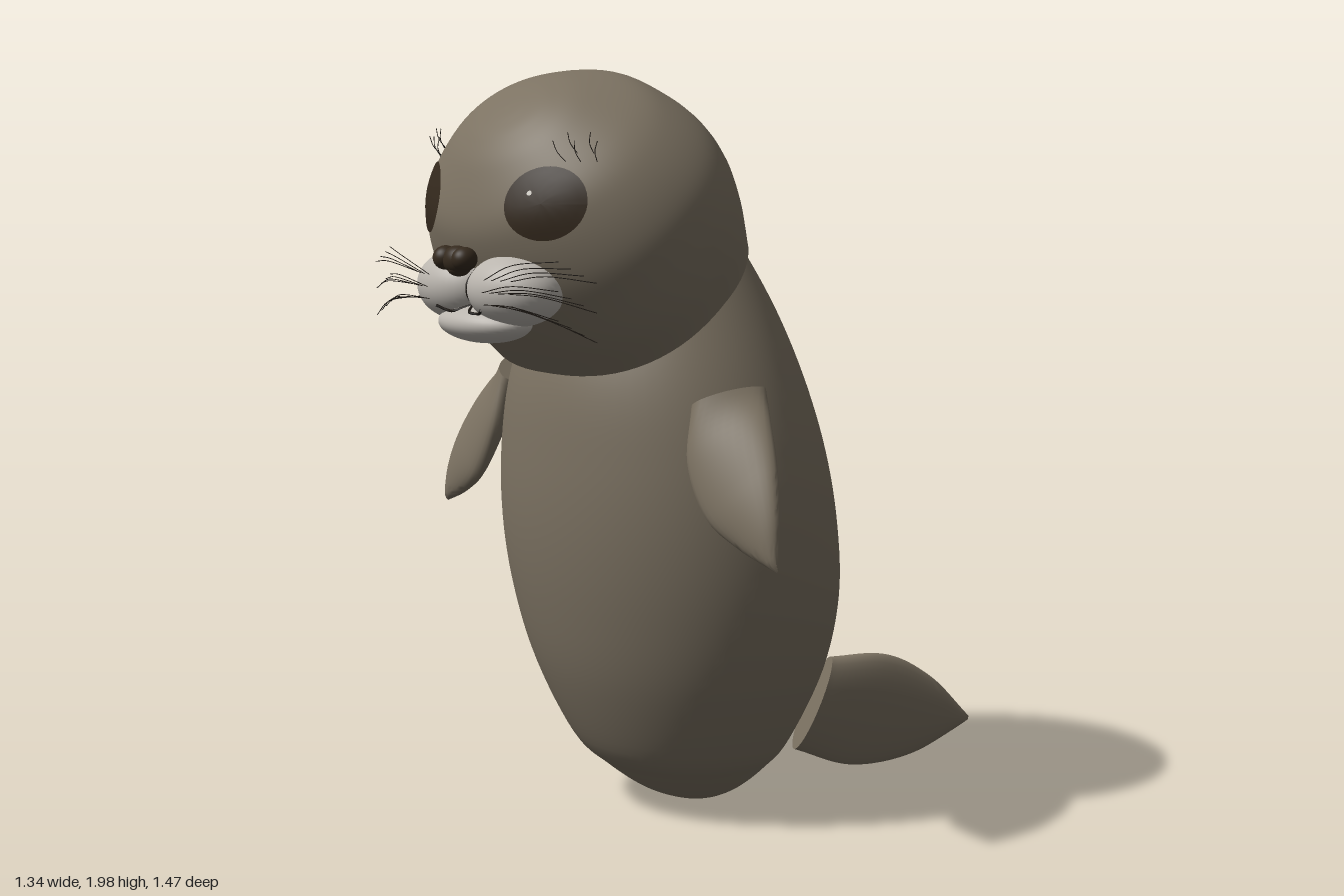
import * as THREE from 'three';
import { mergeVertices, mergeGeometries, toCreasedNormals } from 'three/addons/utils/BufferGeometryUtils.js';

const V = (x, y, z) => new THREE.Vector3(x, y, z);
const mat = (name, color, side = THREE.FrontSide) => {
  const m = new THREE.MeshStandardMaterial({ color, side });
  m.name = name;
  return m;
};

// Smooth skin over a list of rings (counter-clockwise about the direction of travel)
function skin(rings) {
  const n = rings[0].length, index = [];
  for (let i = 0; i < rings.length - 1; i++) {
    for (let j = 0; j < n; j++) {
      const k = (j + 1) % n;
      const a = i * n + j, b = i * n + k, c = (i + 1) * n + k, d = (i + 1) * n + j;
      index.push(a, b, c, a, c, d);
    }
  }
  const raw = new THREE.BufferGeometry().setFromPoints(rings.flat());
  raw.setIndex(index);
  const g = mergeVertices(raw, 1e-5);
  g.computeVertexNormals();
  return g;
}

// Egg-like solid. Row: [height, back, front, half width, front roundness exponent]
function egg(rows, origin, up, forward, steps, sides = 64) {
  const depth = new THREE.CatmullRomCurve3(rows.map(r => V(r[0], r[1], r[2])), false, 'catmullrom', 0.5);
  const width = new THREE.CatmullRomCurve3(rows.map(r => V(r[0], r[3], r[4] ?? 2)), false, 'catmullrom', 0.5);
  const rings = [];
  for (let i = 0; i <= steps; i++) {
    const d = depth.getPoint(i / steps), w = width.getPoint(i / steps);
    const mid = (d.y + d.z) / 2, half = (d.z - d.y) / 2, ring = [];
    for (let j = 0; j < sides; j++) {
      const t = j / sides * Math.PI * 2, c = Math.cos(t), s = Math.sin(t);
      const p = c > 0 ? 2 / w.z : 1;
      const v = mid + half * Math.sign(c) * Math.abs(c) ** p;
      const x = w.y * Math.sign(s) * Math.abs(s) ** p;
      ring.push(origin.clone().addScaledVector(up, d.x).addScaledVector(forward, v).add(V(x, 0, 0)));
    }
    rings.push(ring);
  }
  return skin(rings);
}

// Flipper blade between two edge curves, lens-shaped across, with a closed root
function blade(edgeA, edgeB, thick, side) {
  const curve = pts => new THREE.CatmullRomCurve3(pts.map(p => V(p[0] * side, p[1], p[2])));
  const A = curve(edgeA), B = curve(edgeB), steps = 28, sides = 28, rings = [];
  for (let i = 0; i <= steps; i++) {
    const t = i / steps, a = A.getPoint(t), b = B.getPoint(t);
    const mid = a.clone().add(b).multiplyScalar(0.5), half = a.clone().sub(b).multiplyScalar(0.5);
    const along = A.getTangent(t).add(B.getTangent(t));
    const n = along.cross(half).normalize().multiplyScalar(thick * Math.sqrt(1 - t * t));
    if (i === 0) rings.push(Array.from({ length: sides }, () => mid.clone()));
    rings.push(Array.from({ length: sides }, (_, j) => {
      const q = j / sides * Math.PI * 2;
      return mid.clone().addScaledVector(half, Math.cos(q)).addScaledVector(n, Math.sin(q));
    }));
  }
  return toCreasedNormals(skin(rings), 0.9);
}

export function createModel() {
  const group = new THREE.Group();
  const fur = mat('brown fur', 0x7c7262);
  const pale = mat('pale muzzle', 0xbab5ae);
  const eyeDark = mat('dark eye', 0x34291d, THREE.DoubleSide);
  const noseDark = mat('dark nose', 0x352a1e);
  const hairDark = mat('dark hair', 0x1c1712, THREE.DoubleSide);
  const shine = mat('eye shine', 0xd8d4cc, THREE.DoubleSide);

  const add = (name, geometry, material) => {
    const m = new THREE.Mesh(geometry, material);
    m.name = name;
    group.add(m);
    return m;
  };
  const ball = (name, material, [x, y, z], [rx, ry, rz], turn = 0) => {
    const g = new THREE.SphereGeometry(1, 40, 28).scale(rx, ry, rz).rotateY(turn).translate(x, y, z);
    return add(name, g, material);
  };

  // Body
  add('body', egg([
    [0.005, -0.09, -0.09, 0], [0.012, -0.145, -0.03, 0.07], [0.05, -0.215, 0.06, 0.155],
    [0.12, -0.28, 0.155, 0.245], [0.2, -0.33, 0.235, 0.32], [0.4, -0.41, 0.33, 0.42],
    [0.6, -0.435, 0.385, 0.475], [0.8, -0.415, 0.415, 0.49], [1.0, -0.375, 0.42, 0.472],
    [1.2, -0.315, 0.403, 0.42], [1.4, -0.23, 0.34, 0.335], [1.6, -0.115, 0.27, 0.22],
    [1.75, 0, 0.2, 0.1], [1.8, 0.1, 0.1, 0],
  ], V(0, 0, 0), V(0, 1, 0), V(0, 0, 1), 78), fur);

  // Head: a dome tipped forward over the neck, with a flat underside
  const origin = V(0, 1.43, 0.165), up = V(0, 0.75, 0.66), forward = V(0, -0.66, 0.75);
  const head = add('head', egg([
    [0, -0.315, 0.315, 0.41, 2.5], [0.1, -0.358, 0.327, 0.435, 2.4], [0.2, -0.386, 0.33, 0.445, 2.2],
    [0.3, -0.383, 0.322, 0.435, 2.1], [0.4, -0.35, 0.295, 0.39], [0.476, -0.305, 0.25, 0.325],
    [0.55, -0.21, 0.155, 0.215], [0.583, -0.14, 0.085, 0.135], [0.596, -0.08, 0.025, 0.065],
    [0.6, -0.028, -0.028, 0],
  ], origin, up, forward, 72), fur);
  add('headUnderside', egg([[0, 0, 0, 0, 2.5], [0, -0.315, 0.315, 0.41, 2.5]], origin, up, forward, 1), fur);

  // Muzzle and chin
  const face = [head];
  for (const s of [1, -1]) {
    face.push(ball('muzzleCheek', pale, [s * 0.11, 1.455, 0.6], [0.133, 0.09, 0.105], s * 0.15));
  }
  face.push(ball('chin', pale, [0, 1.368, 0.612], [0.15, 0.05, 0.092]));

  // Depth of the face surface at a point seen from the front
  const caster = new THREE.Raycaster();
  const onFace = (x, y, lift = 0, targets = face) => {
    caster.set(V(x, y, 3), V(0, 0, -1));
    const hit = caster.intersectObjects(targets, false)[0];
    return V(x, y, (hit ? hit.point.z : 0.6) + lift);
  };
  // Oval patch that hugs the head
  const patch = (cx, cy, rx, ry, lift) => {
    const g = new THREE.RingGeometry(0, 1, 40, 6).scale(rx, ry, 1).translate(cx, cy, 0);
    const p = g.attributes.position;
    for (let i = 0; i < p.count; i++) p.setZ(i, onFace(p.getX(i), p.getY(i), lift, [head]).z);
    g.computeVertexNormals();
    return g;
  };
  const strand = (pts, r, n = 10, sides = 3) =>
    new THREE.TubeGeometry(new THREE.CatmullRomCurve3(pts), n, r, sides);

  // Nose
  ball('noseBridge', noseDark, [0, 1.528, 0.695], [0.045, 0.035, 0.033]);
  ball('noseTip', noseDark, [0, 1.507, 0.69], [0.026, 0.02, 0.03]);

  // Mouth line
  const lines = [strand([1.5, 1.47, 1.44, 1.415].map(y => onFace(0, y, 0.003)), 0.004, 10, 6)];

  const hairs = [];
  for (const s of [1, -1]) {
    ball('nostrilLobe', noseDark, [s * 0.038, 1.532, 0.702], [0.03, 0.03, 0.033]);
    lines.push(strand([[0, 1.415], [0.03, 1.4], [0.06, 1.398], [0.09, 1.41]]
      .map(([x, y]) => onFace(s * x, y, 0.003)), 0.004, 12, 6));

    // Eyes
    add('eye', patch(s * 0.226, 1.67, 0.095, 0.089, 0.006), eyeDark);
    add('eyeShine', patch(s * 0.226 - 0.03, 1.695, 0.006, 0.006, 0.009), shine);

    // Whiskers fan out from three rows on each cheek
    for (let i = 0; i < 12; i++) {
      const row = i % 3, col = Math.floor(i / 3);
      const root = onFace(s * (0.11 + col * 0.025), 1.485 - row * 0.03);
      const tip = V(s * (0.34 + col * 0.035), 1.54 - row * 0.07 - col * 0.015, 0.655 - col * 0.01);
      const bend = root.clone().lerp(tip, 0.5).add(V(0, 0.015, 0.025));
      hairs.push(strand([root, bend, tip], 0.0012));
    }
    // Brow hairs
    for (let i = 0; i < 5; i++) {
      const root = onFace(s * (0.25 + i * 0.015), 1.77 + (i % 2) * 0.02);
      const tip = root.clone().add(V(s * (i - 2) * 0.012, 0.05, 0.02));
      hairs.push(strand([root, root.clone().lerp(tip, 0.5).add(V(0, 0, 0.008)), tip], 0.0012, 6));
    }

    // Front flippers
    add('frontFlipper', blade(
      [[0.465, 1.2, 0.09], [0.545, 1.13, 0.15], [0.605, 1.04, 0.19], [0.65, 0.92, 0.225], [0.668, 0.79, 0.245]],
      [[0.375, 1.165, 0.26], [0.388, 1.02, 0.285], [0.46, 0.89, 0.285], [0.55, 0.83, 0.265], [0.662, 0.785, 0.243]],
      0.045, s), fur);

    // Hind flippers
    add('hindFlipper', blade(
      [[0.3, 0.41, -0.33], [0.365, 0.405, -0.48], [0.41, 0.33, -0.61], [0.445, 0.2, -0.735]],
      [[0.2, 0.14, -0.285], [0.26, 0.075, -0.45], [0.345, 0.095, -0.6], [0.445, 0.19, -0.735]],
      0.045, s), fur);
  }
  add('mouthLine', mergeGeometries(lines), hairDark);
  add('whiskersAndBrows', mergeGeometries(hairs), hairDark);

  return group;
}
